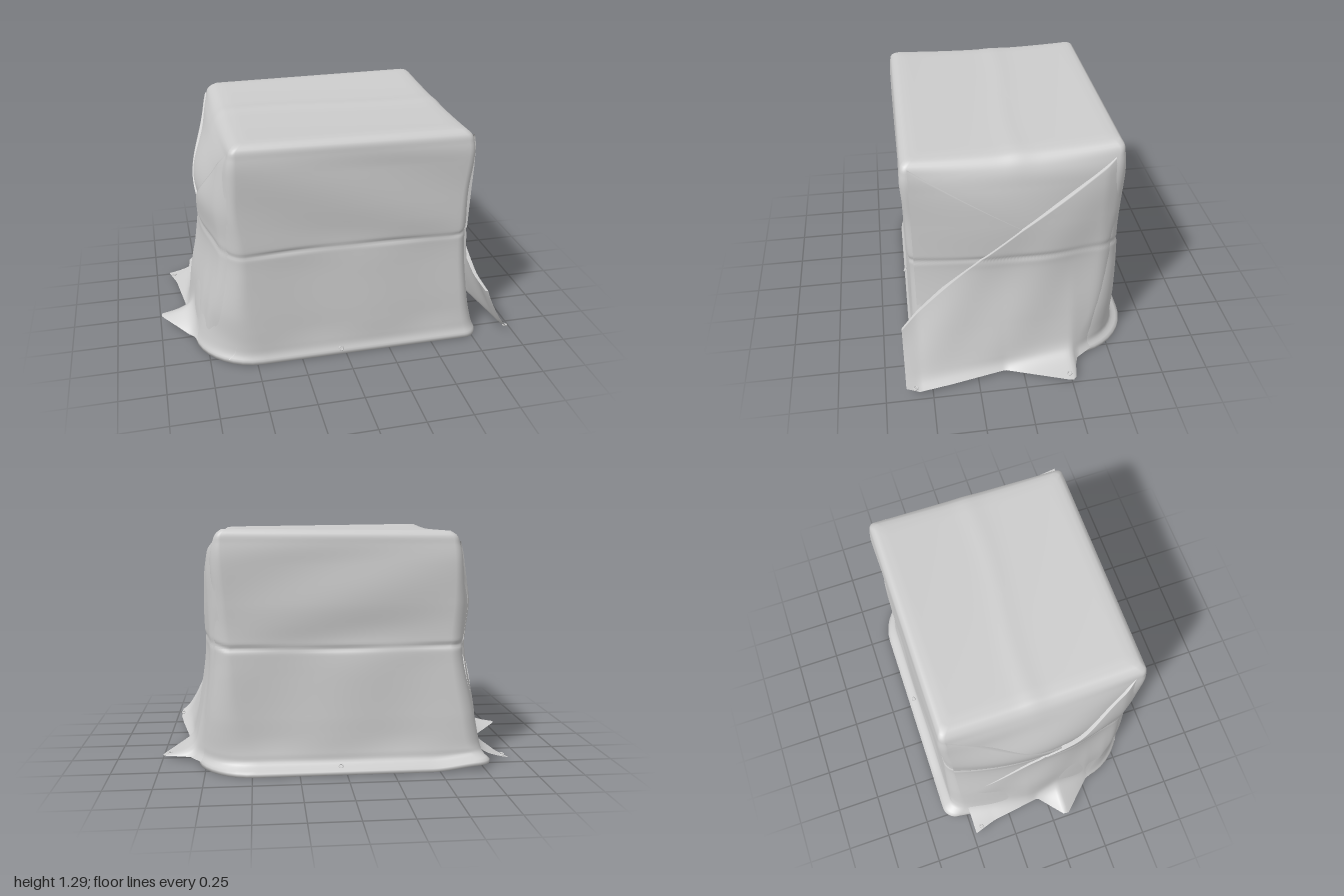
import * as THREE from 'three';

const { clamp, lerp, smoothstep } = THREE.MathUtils;
const mat = new THREE.MeshStandardMaterial({ color: 0xcccccc, side: THREE.DoubleSide });

// Cross-sections of the cover: y, then xMin, xMax, zMin, zMax at the corners,
// tight corner radius, loose corner radius, bulge of the -x wall, bulge of the +x wall
const sections = [
  [0.02, -0.785, 0.785, -0.63, 0.603, 0.08, 0.31, 0.035, 0.015],
  [0.05, -0.755, 0.77, -0.58, 0.59, 0.07, 0.28, 0.06, 0.02],
  [0.10, -0.73, 0.755, -0.566, 0.585, 0.07, 0.25, 0.075, 0.03],
  [0.30, -0.68, 0.715, -0.553, 0.58, 0.06, 0.15, 0.095, 0.045],
  [0.62, -0.615, 0.677, -0.54, 0.573, 0.05, 0.08, 0.10, 0.053],
  [0.72, -0.615, 0.677, -0.533, 0.576, 0.05, 0.07, 0.105, 0.058],
  [0.90, -0.63, 0.682, -0.542, 0.584, 0.05, 0.06, 0.105, 0.058],
  [1.10, -0.618, 0.688, -0.538, 0.588, 0.04, 0.05, 0.05, 0.04],
  [1.20, -0.605, 0.682, -0.532, 0.586, 0.035, 0.04, 0.018, 0.02],
  [1.25, -0.588, 0.664, -0.523, 0.575, 0.03, 0.03, 0, 0.004],
  [1.27, -0.56, 0.64, -0.505, 0.552, 0.03, 0.03, 0, 0],
];
const spline = new THREE.CubicInterpolant(
  sections.map(s => s[0]), sections.flatMap(s => s.slice(1)), 8, new Float32Array(8));
const sectionAt = y => Array.from(spline.evaluate(clamp(y, 0.02, 1.27)));
const belly = z => Math.max(0, 1 - (z / 0.55) ** 2);

// Value of a polyline [[t, value], ...] at t
function along(pts, t) {
  let i = 0;
  while (i < pts.length - 2 && t > pts[i + 1][0]) i++;
  const [a, b] = [pts[i], pts[i + 1]];
  return lerp(a[1], b[1], clamp((t - a[0]) / (b[0] - a[0]), 0, 1));
}

// Groove pulled in by the band around the middle
const groove = (x, y, z) => {
  const d = y - 0.665 - 0.03 * smoothstep(Math.abs(x), 0.6, 0.74) - 0.005 * Math.sin(5 * x + 3 * z);
  return -0.01 * Math.exp(-((d / 0.013) ** 2)) * (0.75 + 0.25 * Math.sin(11 * x + 9 * z));
};

// Soft folds: upright ones below the band, slanted ones above
const folds = (x, y, z) =>
  0.006 * Math.sin(9 * x + 10 * z + 2 * y) * smoothstep(y, 0.02, 0.2) * (1 - smoothstep(y, 0.5, 0.8)) +
  0.005 * Math.sin(5 * x - 6 * z + 12 * y) * smoothstep(y, 0.55, 0.8) * (1 - smoothstep(y, 1.1, 1.25));

// Mesh from rows of points
function gridMesh(name, rows, closed) {
  const n = rows[0].length, index = [];
  for (let i = 0; i < rows.length - 1; i++) {
    for (let j = 0; j < (closed ? n : n - 1); j++) {
      const k = (j + 1) % n, a = i * n + j, b = i * n + k, c = a + n, d = b + n;
      index.push(a, b, d, a, d, c);
    }
  }
  const geo = new THREE.BufferGeometry();
  geo.setAttribute('position', new THREE.Float32BufferAttribute(rows.flat(2), 3));
  geo.setIndex(index);
  geo.computeVertexNormals();
  const mesh = new THREE.Mesh(geo, mat);
  mesh.name = name;
  return mesh;
}

// Rounded rectangle with bulging sides as [x, z, normalX, normalZ], from the +x side round by the back
function ring(y) {
  const [x0, x1, z0, z1, rs, rb, b0, b1] = sectionAt(y), arcs = [];
  [[1, -1, rb], [-1, -1, rs], [-1, 1, rb], [1, 1, rs]].forEach(([sx, sz, r], c) => {
    const cx = sx > 0 ? x1 - r : x0 + r, cz = sz > 0 ? z1 - r : z0 + r, arc = [];
    for (let i = 0; i <= 9; i++) {
      const a = (c + i / 9) * Math.PI / 2;
      arc.push([cx + r * Math.cos(a), cz - r * Math.sin(a), Math.cos(a), -Math.sin(a)]);
    }
    arcs.push(arc);
  });
  return arcs.flatMap((arc, c) => {
    const a = arc[9], b = arcs[(c + 1) % 4][0], side = [];
    for (let i = 1; i < 44; i++) side.push(a.map((v, k) => lerp(v, b[k], i / 44)));
    return [...arc, ...side];
  }).map(([x, z, nx, nz]) => [x + nx * belly(z) * (nx > 0 ? b1 : b0), z, nx, nz]);
}

// Uneven roof: highest at the back, slack across the middle
function roofLift(x, y, z) {
  const t = z / 0.55;
  return smoothstep(y, 1.05, 1.26) *
    (-0.011 + 0.018 * t * t - 0.008 * t - 0.012 * x * t + 0.005 * Math.exp(-(((z - 0.03 * Math.sin(4 * x)) / 0.06) ** 2)));
}

// Hem curling up at the back corner on the -x side
const hemLift = (x, y, z) =>
  0.03 * smoothstep(-x, 0.45, 0.75) * smoothstep(-z, 0.4, 0.6) * (1 - smoothstep(y, 0.02, 0.14));

function buildCover() {
  const rows = [];
  // hem turned under
  rows.push(ring(0.02).map(([x, z, nx, nz]) => [x - nx * 0.045, 0.012 + hemLift(x, 0, z), z - nz * 0.045]));
  rows.push(ring(0.02).map(([x, z]) => [x, hemLift(x, 0, z), z]));
  // walls
  for (let i = 0; i <= 120; i++) {
    const y = lerp(0.02, 1.27, i / 120);
    rows.push(ring(y).map(([x, z, nx, nz]) => {
      const d = groove(x, y, z) + folds(x, y, z);
      return [x + nx * d, y + roofLift(x, y, z) + hemLift(x, y, z), z + nz * d];
    }));
  }
  // roof
  const rim = ring(1.27), cx = 0.04, cz = 0.0235;
  for (let i = 1; i <= 24; i++) {
    const f = 1 - i / 24;
    rows.push(rim.map(([px, pz]) => {
      const x = lerp(cx, px, f), z = lerp(cz, pz, f);
      return [x, 1.27 + 0.005 * smoothstep(1 - f, 0, 0.1) + roofLift(x, 1.27, z), z];
    }));
  }
  return gridMesh('cover', rows, true);
}

// Side wall distance, seen in a frame turned half round for side -1
function wallX(side, z, y) {
  const k = sectionAt(y), r = k[5];
  const xMax = side > 0 ? k[1] : -k[0], cz = (side > 0 ? k[2] : -k[3]) + r;
  const bend = z < cz ? Math.sqrt(Math.max(0, r * r - (cz - z) ** 2)) : r;
  const x = xMax - r + bend + (bend / r) * belly(z) * (side > 0 ? k[7] : k[6]);
  return x + groove(x * side, y, z * side);
}

// Sheet lying on a side wall between two lines; flare = { skirt, hem } spreads its foot
function sheet(name, side, top, bottom, zA, zB, offset, flare) {
  const rows = [], nu = 66, nv = flare ? 110 : 70;
  for (let i = 0; i <= nv + 1; i++) {
    const row = [], v = Math.min(i / nv, 1);
    for (let j = 0; j <= nu; j++) {
      const z = lerp(zB, zA, j / nu), foot = along(bottom, z);
      const y = lerp(foot, along(top, z), v);
      // the sheet grows out of the wall at its first edge and its top edge folds back in
      const lift = i > nv ? -0.01 : flare ? lerp(-0.004, offset, smoothstep(z - zA, 0, 0.1)) : offset;
      let x = wallX(side, z, y) + lift;
      if (flare) {
        const t = clamp(1 - (y - foot) / 0.62, 0, 1), skirt = along(flare.skirt, z);
        x += (skirt - wallX(side, z, 0.02) - lift) * t ** 1.2 + (along(flare.hem, z) - skirt) * t ** 22;
        x += 0.006 * Math.sin(14 * z + 5 * y) * Math.sin(Math.PI * v) * smoothstep(z - zA, 0, 0.1);
      }
      row.push([x * side, y, z * side]);
    }
    rows.push(row);
  }
  return gridMesh(name, rows, false);
}

function buildSide(name, side, fold, crease, bottom, flare) {
  const g = new THREE.Group();
  g.name = name;
  g.add(sheet('foldedFlap', side, fold, bottom, fold[0][0], fold[fold.length - 1][0], 0.02, flare));
  g.add(sheet('tuckedCorner', side, crease, fold, crease[0][0], crease[1][0], 0.009));
  return g;
}

export function createModel() {
  const model = new THREE.Group();
  model.name = 'coveredCrate';
  model.add(buildCover());

  // side folds: diagonal edge, tucked edge, foot height, spread of the foot
  model.add(buildSide('leftFold', 1,
    [[-0.52, 1.25], [0, 0.87], [0.58, 0.37], [0.64, 0.32]],
    [[0, 0.87], [0.55, 1.23]],
    [[-0.52, 0.02], [0.57, 0.02], [0.64, 0.05]],
    {
      skirt: [[-0.52, 0.67], [-0.4, 0.77], [-0.28, 0.83], [0.1, 0.86], [0.64, 0.95]],
      hem: [[-0.52, 0.67], [-0.4, 0.78], [-0.3, 0.85], [-0.27, 1.0], [-0.24, 1.0], [0.1, 0.88], [0.4, 0.94], [0.64, 0.98]],
    }));
  model.add(buildSide('rightFold', -1,
    [[-0.55, 1.25], [-0.1, 0.78], [0.48, 0.28]],
    [[-0.1, 0.78], [0.5, 1.22]],
    [[-0.55, 0.02], [-0.25, 0.02], [-0.08, 0.07], [0.05, 0.02], [0.48, 0.02]],
    {
      skirt: [[-0.55, 0.65], [-0.4, 0.77], [-0.28, 0.81], [0.1, 0.825], [0.3, 0.80], [0.48, 0.77]],
      hem: [[-0.55, 0.65], [-0.4, 0.78], [-0.28, 0.82], [-0.1, 1.0], [-0.07, 1.0], [0.05, 0.84], [0.35, 0.88], [0.48, 0.92]],
    }));

  // eyelets along the hem: position and tilt about x
  const eyelet = new THREE.TorusGeometry(0.011, 0.004, 8, 20);
  [[0.96, 0.028, -0.24, 1.4], [0.955, 0.04, 0.59, 1.3], [-0.89, 0.027, -0.44, 1.3],
    [0.03, 0.04, -0.597, 0.8], [-0.03, 0.035, 0.6, -0.5]].forEach(([x, y, z, tilt]) => {
    const m = new THREE.Mesh(eyelet, mat);
    m.name = 'eyelet';
    m.position.set(x, y, z);
    m.rotation.x = tilt;
    model.add(m);
  });
  return model;
}
